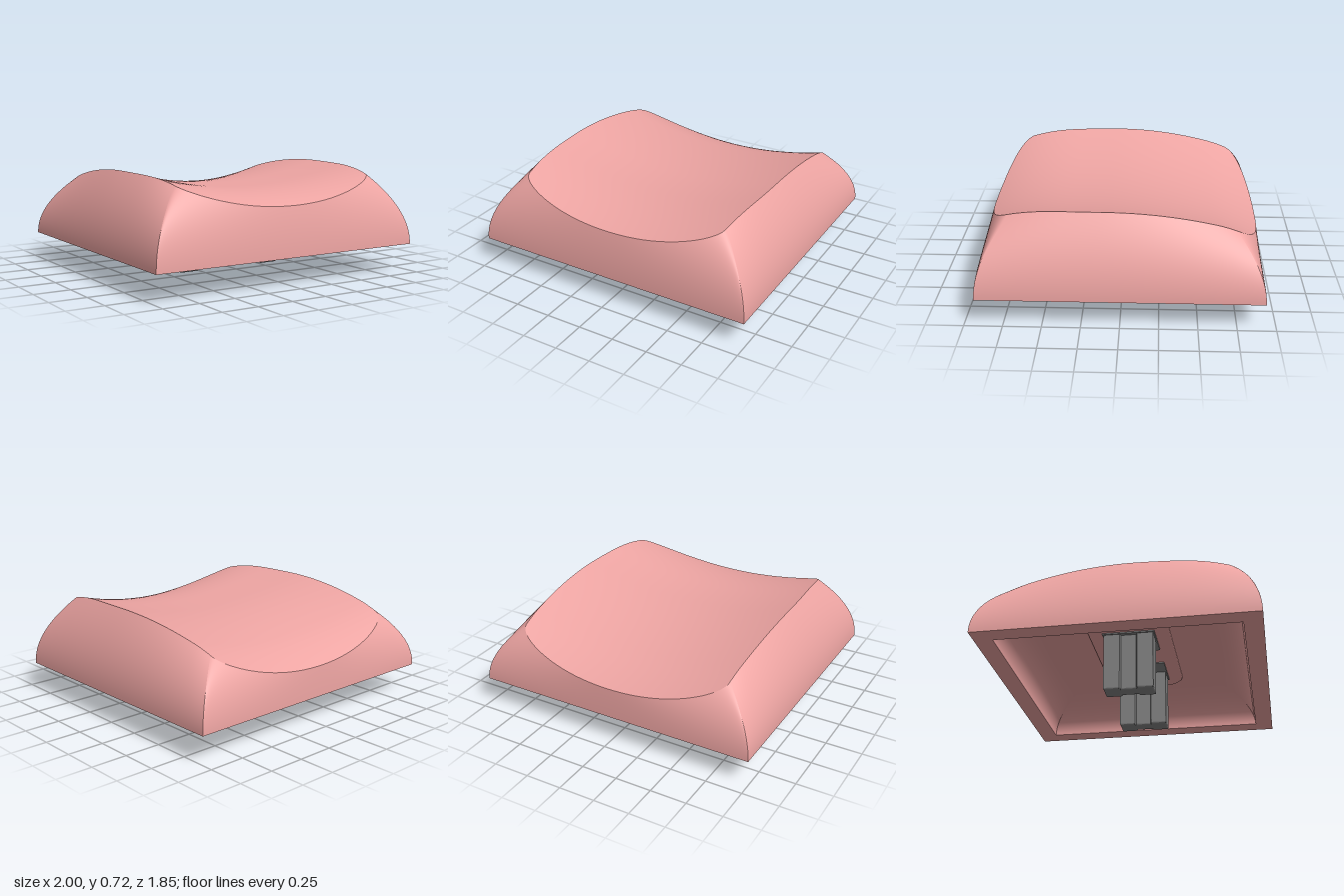
import * as THREE from 'three';
import { ParametricGeometry } from 'three/addons/geometries/ParametricGeometry.js';
import { mergeGeometries } from 'three/addons/utils/BufferGeometryUtils.js';

const BASE = 0.187, CEILING = 0.43;
const lerp = THREE.MathUtils.lerp;
// spread samples so that they crowd towards the ends of 0..1
const ease = (t) => (1 - Math.cos(Math.PI * t)) / 2;

// Height of the dished top: a trough across x that drops at front and back
function dishHeight(x, z) {
  const front = 0.08 * Math.pow(Math.max(0, z - 0.35) / 0.54, 2.5);
  const back = 0.165 * Math.pow(Math.max(0, 0.1 - z) / 1.02, 2);
  const backLip = 0.04 * Math.pow(Math.max(0, -0.6 - z) / 0.32, 2);
  return 0.6 - front - back - backLip + 0.1875 * x * x;
}

// Plan of the dish: a rounded rectangle, u in -1..1 across, v in 0..1 back to front
function plan(u, v) {
  const bulge = Math.pow(Math.max(0, 1 - Math.pow(Math.abs(u), 2.2)), 0.45);
  const z = lerp(-0.74 - 0.178 * bulge, 0.71 + 0.18 * bulge, v);
  const half = z > 0
    ? 0.8 - 0.046 * Math.pow(Math.min(1, z / 0.71), 2.2)
    : 0.8 - 0.025 * Math.pow(Math.min(1, -z / 0.74), 2);
  return [u * half, z];
}

// Wall profiles: s in 0..1 gives [inward share, height share]
const outerProfile = (s) => [s * s, s];
const cavityProfile = (s) => [1 - Math.cos(s * Math.PI / 2), Math.sin(s * Math.PI / 2)];

// Four curved walls rising from a rectangle to a scaled plan, closed by a surface
function shell(halfX, halfZ, scale, height, profile, inward) {
  const patch = (fn, nu, nv) => {
    const g = new ParametricGeometry((a, b, p) => fn(inward ? 1 - a : a, b, p), nu, nv);
    g.computeVertexNormals();
    return g;
  };
  const top = (u, v) => {
    const [x, z] = plan(u, v);
    return [x * scale, height(x, z), z * scale];
  };
  const sides = [
    (t) => [2 * t - 1, 1],
    (t) => [1, 1 - t],
    (t) => [1 - 2 * t, 0],
    (t) => [-1, t],
  ];
  const parts = sides.map((side) => patch((a, s, p) => {
    const [u, v] = side(ease(a));
    const [x, y, z] = top(u, v);
    const [k, h] = profile(s);
    p.set(lerp(u * halfX, x, k), lerp(BASE, y, h), lerp((2 * v - 1) * halfZ, z, k));
  }, 64, 20));
  parts.push(patch((a, b, p) => p.set(...top(2 * ease(a) - 1, 1 - ease(b))), 64, 64));
  return mergeGeometries(parts);
}

function rectangle(path, x, z) {
  path.moveTo(-x, -z);
  path.lineTo(x, -z);
  path.lineTo(x, z);
  path.lineTo(-x, z);
  path.closePath();
  return path;
}

function roundedRect(x, z, r) {
  const s = new THREE.Shape();
  s.absarc(x - r, z - r, r, 0, Math.PI / 2);
  s.absarc(r - x, z - r, r, Math.PI / 2, Math.PI);
  s.absarc(r - x, r - z, r, Math.PI, Math.PI * 1.5);
  s.absarc(x - r, r - z, r, Math.PI * 1.5, Math.PI * 2);
  s.closePath();
  return s;
}

// Upright extrusion of a plan shape between two heights
function upright(shape, y0, y1, bevel) {
  const g = new THREE.ExtrudeGeometry(shape, {
    depth: y1 - y0 - 2 * bevel, bevelEnabled: true, bevelThickness: bevel,
    bevelSize: bevel, bevelOffset: -bevel, bevelSegments: 3, curveSegments: 10,
  });
  g.rotateX(-Math.PI / 2);
  g.translate(0, y0 + bevel, 0);
  return g;
}

export function createModel() {
  const group = new THREE.Group();
  const pink = new THREE.MeshStandardMaterial({ color: 0xeea5a3 });
  const grey = new THREE.MeshStandardMaterial({ color: 0x838383 });
  const add = (name, geometry, material) => {
    const mesh = new THREE.Mesh(geometry, material);
    mesh.name = name;
    group.add(mesh);
    return mesh;
  };

  // Cap: outer skin, hollow underside and the flat rim joining them
  add('capOuter', shell(1, 0.925, 1, dishHeight, outerProfile, false), pink);
  add('capCavity', shell(0.87, 0.8, 0.65, () => CEILING, cavityProfile, true), pink);
  const rim = rectangle(new THREE.Shape(), 1, 0.925);
  rim.holes.push(rectangle(new THREE.Path(), 0.87, 0.8));
  add('capRim', new THREE.ShapeGeometry(rim).rotateX(Math.PI / 2).translate(0, BASE, 0), pink);

  // Low pad under the ceiling that carries the stems
  add('stemPad', upright(roundedRect(0.54, 0.28, 0.14), CEILING - 0.015, CEILING + 0.015, 0.01), pink);

  // Two stems, waisted at the middle, each on a small foot plate
  const half = [[0.07, -0.17], [0.07, -0.06], [0.05, -0.052], [0.05, 0.052], [0.07, 0.06], [0.07, 0.17]];
  const outline = [...half, ...half.map(([x, z]) => [-x, -z])];
  const stemShape = new THREE.Shape(outline.map(([x, z]) => new THREE.Vector2(x, z)));
  for (const side of [1, -1]) {
    const label = side > 0 ? 'left' : 'right';
    add(label + 'Stem', upright(stemShape, 0, CEILING, 0.012), grey).position.x = side * 0.33;
    add(label + 'StemFoot', new THREE.BoxGeometry(0.3, 0.02, 0.36), grey)
      .position.set(side * 0.26, CEILING - 0.015, 0);
  }
  return group;
}
